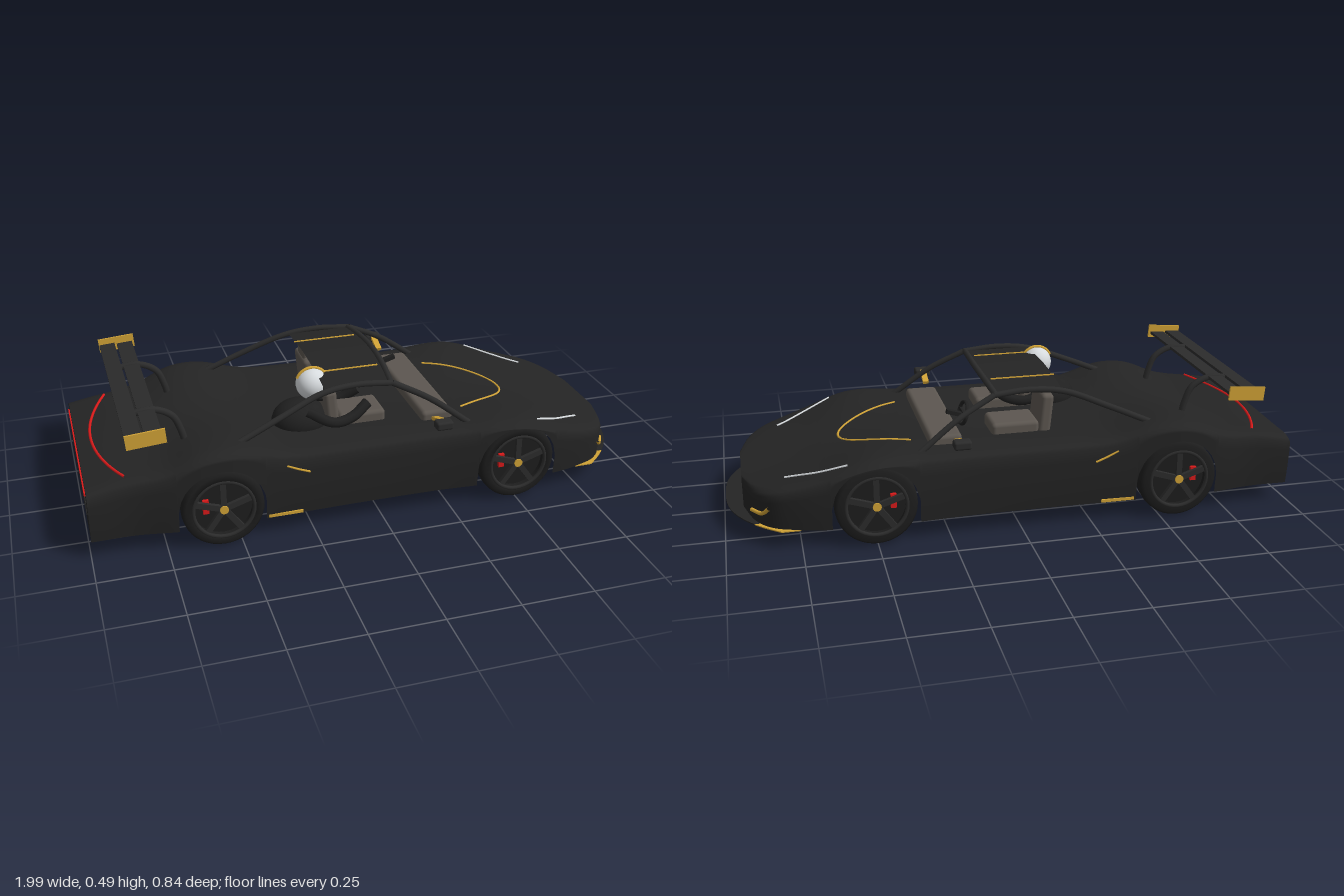
import * as THREE from 'three';
import { RoundedBoxGeometry } from 'three/addons/geometries/RoundedBoxGeometry.js';

const mat = (name, color, double) => new THREE.MeshStandardMaterial({ name, color, side: double ? THREE.DoubleSide : THREE.FrontSide });

// Smooth interpolation through [x, value] pairs
function curve(pts) {
  const slope = i => {
    const a = pts[Math.max(i - 1, 0)], b = pts[Math.min(i + 1, pts.length - 1)];
    return (b[1] - a[1]) / (b[0] - a[0]);
  };
  return x => {
    let i = 0;
    while (i < pts.length - 2 && x > pts[i + 1][0]) i++;
    const h = pts[i + 1][0] - pts[i][0];
    const t = THREE.MathUtils.clamp((x - pts[i][0]) / h, 0, 1), t2 = t * t, t3 = t2 * t;
    return (2 * t3 - 3 * t2 + 1) * pts[i][1] + (t3 - 2 * t2 + t) * h * slope(i)
      + (3 * t2 - 2 * t3) * pts[i + 1][1] + (t3 - t2) * h * slope(i + 1);
  };
}

// Body rules along the length: half width, fender height, centre height
const REAR = -0.995, NOSE = 0.932, WHEELS = [-0.56, 0.5], ARCH = 0.148;
const halfWidth = curve([[-1, 0.37], [-0.85, 0.37], [-0.7, 0.393], [-0.56, 0.402], [-0.38, 0.392], [-0.1, 0.385],
  [0.2, 0.386], [0.4, 0.398], [0.52, 0.403], [0.66, 0.39], [0.78, 0.362], [0.85, 0.325], [0.9, 0.25], [0.932, 0.13]]);
const fender = curve([[-1, 0.243], [-0.9, 0.262], [-0.74, 0.285], [-0.63, 0.328], [-0.55, 0.34], [-0.47, 0.333], [-0.34, 0.298],
  [-0.2, 0.29], [0.3, 0.29], [0.44, 0.298], [0.54, 0.288], [0.7, 0.237], [0.86, 0.195], [0.932, 0.176]]);
const centre = curve([[-1, 0.25], [-0.9, 0.268], [-0.74, 0.285], [-0.56, 0.31], [-0.4, 0.302], [-0.2, 0.285], [0.2, 0.283],
  [0.36, 0.28], [0.585, 0.25], [0.75, 0.215], [0.932, 0.176]]);

function deckY(x, z) {
  const r = Math.abs(z) / halfWidth(x);
  const y = THREE.MathUtils.lerp(centre(x), fender(x), THREE.MathUtils.smoothstep(r, 0, 0.85));
  return r > 0.85 ? y - 0.018 * ((r - 0.85) / 0.15) ** 2 : y;
}
function sillY(x) {
  for (const c of WHEELS) {
    const d = Math.abs(x - c);
    if (d < ARCH) return 0.13 + Math.sqrt(ARCH * ARCH - d * d);
  }
  return 0.064;
}
const DECK = [0.96, 0.91, 0.85, 0.72, 0.58, 0.42, 0.22];

// One cross-section, from the left sill over the deck to the right sill, as [z, y]
function section(x) {
  const w = halfWidth(x), top = deckY(x, w), low = Math.min(sillY(x), top - 0.004), half = [];
  for (let i = 0; i <= 5; i++) {
    const y = THREE.MathUtils.lerp(low, top, i / 5);
    half.push([w * (0.97 + 0.03 * Math.sin(Math.PI * 0.5 * Math.min(1, (y - 0.06) / 0.15))), y]);
  }
  DECK.forEach(r => half.push([w * r, deckY(x, w * r)]));
  return [...half, [0, centre(x)], ...half.slice().reverse().map(([z, y]) => [-z, y])];
}

function bodyGeometry() {
  const xs = [];
  for (let i = 0; i <= 130; i++) xs.push(THREE.MathUtils.lerp(REAR, NOSE, i / 130));
  WHEELS.forEach(c => [-1, 1].forEach(s => xs.push(c + s * (ARCH + 0.0003), c + s * (ARCH - 0.0003))));
  xs.sort((a, b) => a - b);
  const pos = [], idx = [], n = section(0).length;
  xs.forEach((x, i) => {
    section(x).forEach(([z, y]) => pos.push(x, y, z));
    if (i) for (let j = 0; j < n - 1; j++) {
      const a = (i - 1) * n + j, b = a + n;
      idx.push(a, b, b + 1, a, b + 1, a + 1);
    }
  });
  const g = new THREE.BufferGeometry();
  g.setAttribute('position', new THREE.Float32BufferAttribute(pos, 3));
  g.setIndex(idx);
  g.computeVertexNormals();
  return g;
}

export function createModel() {
  const car = new THREE.Group();
  car.name = 'sportsCar';
  const paint = mat('body black', 0x242424, true), trim = mat('trim black', 0x2b2b2b, true), rubber = mat('tyre black', 0x1d1d1d);
  const gold = mat('gold', 0xd0a236), red = mat('red', 0xd81a1a), white = mat('white', 0xd6dadd);
  const leather = mat('taupe leather', 0x5c5650), suit = mat('suit black', 0x202020);

  const add = (name, geo, m, p = [0, 0, 0], parent = car) => {
    const mesh = new THREE.Mesh(geo, m);
    mesh.name = name;
    mesh.position.set(...p);
    parent.add(mesh);
    return mesh;
  };
  const box = (name, s, p, m, parent) => add(name, new THREE.BoxGeometry(...s), m, p, parent);
  const soft = (name, s, p, m, r = 0.015) => add(name, new RoundedBoxGeometry(...s, 3, r), m, p);
  const tube = (name, pts, r, m, parent) => add(name,
    new THREE.TubeGeometry(new THREE.CatmullRomCurve3(pts.map(p => new THREE.Vector3(...p))), 32, r, 8), m, [0, 0, 0], parent);
  // Painted line lying on the deck, given as [x, z]
  const deckLine = (name, pts, r, m) => tube(name, pts.map(([x, z]) => [x, deckY(x, z) + 0.001, z]), r, m);

  // Body shell and end panels
  add('bodyShell', bodyGeometry(), paint);
  [['rearPanel', REAR, -1], ['nosePanel', NOSE, 1]].forEach(([name, x]) => {
    const shape = new THREE.Shape(section(x).map(([z, y]) => new THREE.Vector2(z, y)));
    add(name, new THREE.ShapeGeometry(shape).rotateY(-Math.PI / 2), paint, [x, 0, 0]);
  });

  // Front splitter, gold at both ends
  const splitter = (name, z0, z1, m) => {
    const edge = z => 0.992 - 0.19 * (Math.abs(z) / 0.37) ** 2.6, out = [], back = [];
    for (let i = 0; i <= 20; i++) {
      const z = THREE.MathUtils.lerp(z0, z1, i / 20);
      out.push(new THREE.Vector2(edge(z), -z));
      back.unshift(new THREE.Vector2(edge(z) - 0.065, -z));
    }
    const g = new THREE.ExtrudeGeometry(new THREE.Shape([...out, ...back]), { depth: 0.004, bevelEnabled: false });
    add(name, g.rotateX(-Math.PI / 2), m, [0, 0.062, 0]);
  };
  splitter('splitter', -0.28, 0.28, paint);
  splitter('splitterTipLeft', 0.28, 0.36, gold);
  splitter('splitterTipRight', -0.36, -0.28, gold);

  // Hood line and tail lights
  const hood = [], tail = [];
  for (let i = -8; i <= 8; i++) {
    const t = i / 8;
    hood.push([0.585 - 0.235 * Math.abs(t) ** 2.1, 0.2 * t]);
    tail.push([-0.945 + 0.08 * t * t, 0.32 * t]);
  }
  deckLine('hoodLine', hood, 0.004, gold);
  deckLine('deckLight', tail, 0.005, red);
  box('tailLight', [0.008, 0.01, 0.64], [REAR - 0.001, 0.222, 0], red);
  box('rearGrille', [0.004, 0.05, 0.6], [REAR - 0.001, 0.16, 0], trim);

  // Seats; the steering wheel faces the right seat
  [-1, 1].forEach(s => {
    const z = 0.14 * s;
    soft('seatBack', [0.045, 0.15, 0.145], [-0.13, 0.345, z], leather).rotation.z = 0.1;
    soft('seatCushion', [0.17, 0.06, 0.14], [-0.02, 0.295, z], leather);
    soft('headrest', [0.035, 0.04, 0.09], [-0.135, 0.427, z], leather, 0.01);
  });
  soft('dashboard', [0.115, 0.045, 0.53], [0.24, 0.298, 0], leather);
  const steering = new THREE.Group();
  steering.name = 'steeringWheel';
  steering.position.set(0.155, 0.352, -0.14);
  steering.rotation.z = 0.3;
  steering.scale.y = 0.72;
  car.add(steering);
  add('steeringRim', new THREE.TorusGeometry(0.054, 0.007, 8, 32).rotateY(Math.PI / 2), suit, [0, 0, 0], steering);
  box('steeringBar', [0.01, 0.014, 0.1], [0, 0, 0], suit, steering);
  box('steeringStem', [0.06, 0.02, 0.02], [0.03, -0.01, 0], suit, steering);

  // Roof panel and front bar
  const roofY = z => 0.474 - 0.02 * (z / 0.26) ** 2;
  const roof = new THREE.PlaneGeometry(0.24, 0.53, 4, 16).rotateX(-Math.PI / 2);
  for (let i = 0, p = roof.attributes.position; i < p.count; i++) p.setY(i, roofY(p.getZ(i)));
  roof.computeVertexNormals();
  add('roofPanel', roof, paint, [-0.05, 0, 0]);
  tube('roofBar', [[0.065, 0.452, 0.262], [0.075, 0.467, 0.14], [0.08, 0.473, 0], [0.075, 0.467, -0.14], [0.065, 0.452, -0.262]], 0.011, trim);

  // Parts mirrored on both sides
  [1, -1].forEach(s => {
    tube('frontPillar', [[0.34, 0.283, 0.312 * s], [0.2, 0.385, 0.288 * s], [0.07, 0.452, 0.262 * s]], 0.011, trim);
    tube('rearRail', [[0.07, 0.452, 0.262 * s], [-0.06, 0.462, 0.262 * s], [-0.18, 0.448, 0.267 * s],
      [-0.33, 0.39, 0.288 * s], [-0.48, 0.325, 0.302 * s]], 0.011, trim);
    box('roofStripe', [0.23, 0.004, 0.006], [-0.06, roofY(0.14) + 0.001, 0.14 * s], gold);
    deckLine('headlight', [[0.585, 0.345 * s], [0.68, 0.305 * s], [0.75, 0.268 * s], [0.79, 0.25 * s]], 0.004, white);
    tube('bumperLight', [[0.85, 0.14, 0.33 * s], [0.872, 0.113, 0.302 * s], [0.906, 0.105, 0.245 * s]], 0.007, gold);
    tube('sideFlash', [[-0.34, 0.26, 0.389 * s], [-0.3, 0.241, 0.389 * s], [-0.26, 0.225, 0.388 * s]], 0.004, gold);
    box('sillStripe', [0.12, 0.01, 0.008], [-0.345, 0.073, 0.382 * s], gold);

    // Mirrors
    soft('mirror', [0.06, 0.03, 0.042], [0.21, 0.337, 0.398 * s], trim, 0.008);
    box('mirrorStalk', [0.022, 0.012, 0.075], [0.21, 0.332, 0.347 * s], gold).rotation.x = -0.35 * s;

    // Wing supports and endplates
    tube('wingStrut', [[-0.83, 0.425, 0.19 * s], [-0.74, 0.432, 0.19 * s], [-0.68, 0.4, 0.19 * s],
      [-0.655, 0.345, 0.19 * s], [-0.64, 0.28, 0.19 * s]], 0.012, trim);
    box('wingEndplate', [0.13, 0.05, 0.007], [-0.795, 0.436, 0.4 * s], gold).rotation.z = 0.08;

    // Wheels, with the outer face turned outwards
    WHEELS.forEach((x, i) => {
      const wheel = new THREE.Group(), w = 0.037;
      wheel.name = i ? 'frontWheel' : 'rearWheel';
      wheel.position.set(x, 0.14, (i ? 0.362 : 0.372) * s);
      car.add(wheel);
      const tyre = [[0.1, -w], [0.128, -w], [0.138, -w * 0.7], [0.14, 0], [0.138, w * 0.7], [0.128, w], [0.1, w], [0.1, -w]];
      add('tyre', new THREE.LatheGeometry(tyre.map(p => new THREE.Vector2(...p)), 40).rotateX(Math.PI / 2), rubber, [0, 0, 0], wheel)
        .material = rubber;
      add('rimRing', new THREE.TorusGeometry(0.103, 0.007, 8, 40), trim, [0, 0, w * 0.9 * s], wheel);
      add('brakeDisc', new THREE.CylinderGeometry(0.1, 0.1, 0.012, 32).rotateX(Math.PI / 2), rubber, [0, 0, 0.004 * s], wheel);
      for (let k = 0; k < 5; k++) {
        const a = Math.PI / 2 + k * Math.PI * 0.4;
        box('spoke', [0.1, 0.02, 0.014], [0.052 * Math.cos(a), 0.052 * Math.sin(a), 0.028 * s], trim, wheel).rotation.z = a;
      }
      add('hub', new THREE.CylinderGeometry(0.015, 0.015, 0.012, 16).rotateX(Math.PI / 2), gold, [0, 0, 0.034 * s], wheel);
      box('brakeCaliper', [0.02, 0.05, 0.014], [-0.058, 0.01, 0.016 * s], red, wheel);
    });

    // Driver's arms
    const arm = 0.14 + 0.065 * s, hand = 0.14 + 0.08 * s;
    tube('driverArm', [[-0.22, 0.355, arm], [-0.13, 0.312, 0.14 + 0.09 * s], [-0.06, 0.32, hand], [0, 0.358, 0.14 + 0.06 * s]], 0.019, suit);
  });

  // Rear wing blades
  [-0.83, -0.766].forEach(x => { box('wingBlade', [0.056, 0.01, 0.8], [x, 0.432, 0], trim).rotation.z = 0.08; });

  // Driver's body and helmet
  const ball = (name, r, p, m, scale = [1, 1, 1]) => add(name, new THREE.SphereGeometry(r, 28, 20), m, p).scale.set(...scale);
  ball('driverTorso', 0.1, [-0.23, 0.3, 0.14], suit, [1, 0.75, 0.85]);
  ball('driverLegs', 0.1, [-0.1, 0.235, 0.14], suit, [1.4, 0.4, 0.75]);
  ball('helmet', 0.056, [-0.185, 0.43, 0.14], white, [1, 1.02, 1]);
  add('visor', new THREE.SphereGeometry(0.058, 24, 10, Math.PI - 1.1, 2.2, 1.0, 0.75), suit, [-0.185, 0.43, 0.14]);
  ball('chinGuard', 0.038, [-0.155, 0.383, 0.14], suit, [1, 0.5, 1.05]);
  const crest = [];
  for (let a = 0.5; a <= 2.7; a += 0.2) crest.push([-0.185 + 0.057 * Math.cos(a), 0.43 + 0.059 * Math.sin(a), 0.14]);
  tube('helmetCrest', crest, 0.006, gold);

  return car;
}
